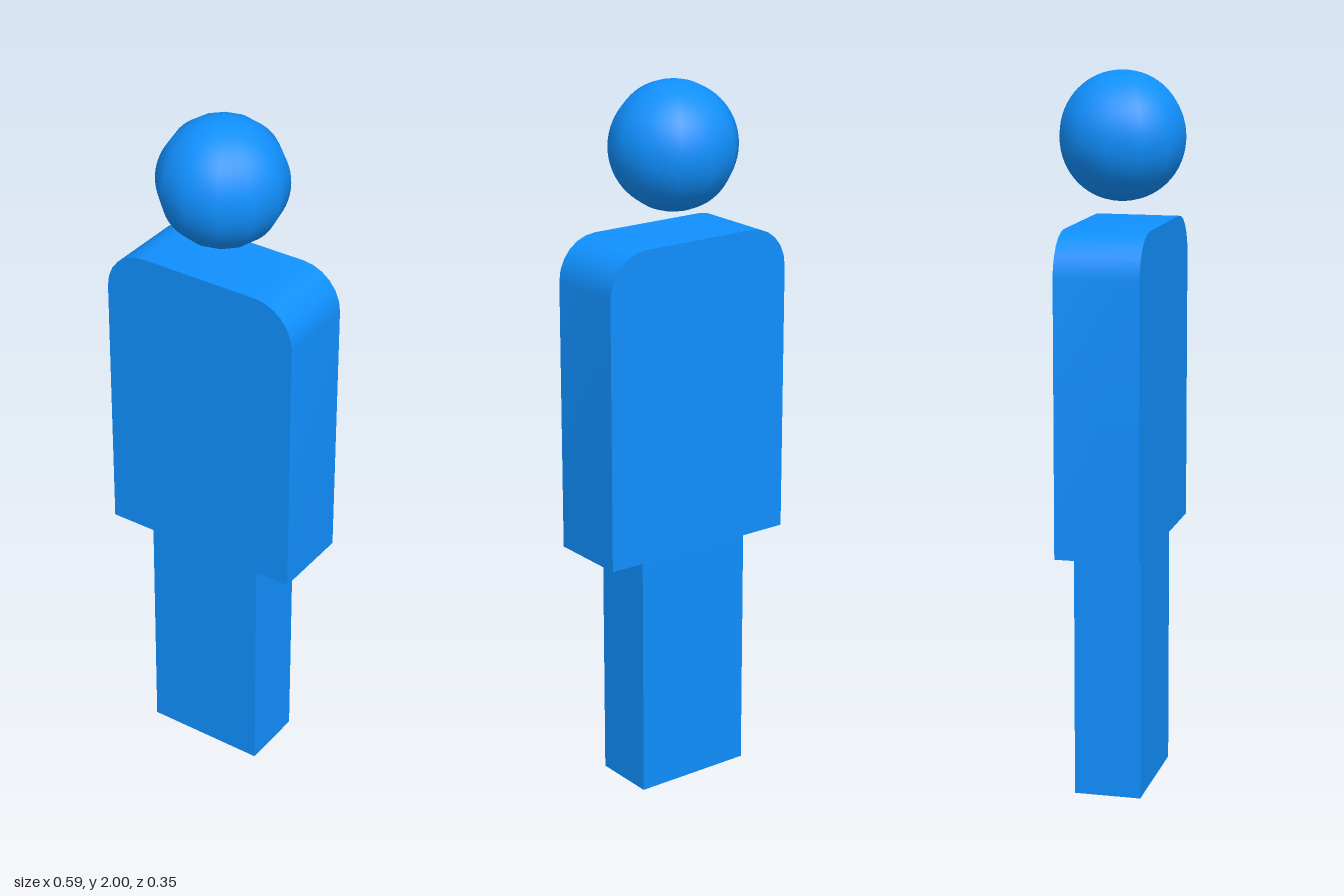
import * as THREE from 'three';
import { toCreasedNormals } from 'three/addons/utils/BufferGeometryUtils.js';

export function createModel() {
  const figure = new THREE.Group();
  figure.name = 'standingFigure';
  const blue = new THREE.MeshStandardMaterial({ color: 0x1090ff });

  const add = (name, geometry, y) => {
    const mesh = new THREE.Mesh(geometry, blue);
    mesh.name = name;
    mesh.position.y = y;
    figure.add(mesh);
  };

  // Legs: one plain block
  const legHeight = 0.706;
  add('legs', new THREE.BoxGeometry(0.353, legHeight, 0.188), legHeight / 2);

  // Torso: slab with rounded shoulders
  const halfWidth = 0.294, height = 0.882, radius = 0.118, depth = 0.235;
  const outline = new THREE.Shape();
  outline.moveTo(-halfWidth, 0);
  outline.lineTo(halfWidth, 0);
  outline.lineTo(halfWidth, height - radius);
  outline.absarc(halfWidth - radius, height - radius, radius, 0, Math.PI / 2);
  outline.lineTo(-halfWidth + radius, height);
  outline.absarc(-halfWidth + radius, height - radius, radius, Math.PI / 2, Math.PI);
  outline.closePath();
  const torso = new THREE.ExtrudeGeometry(outline, { depth, bevelEnabled: false, curveSegments: 3 });
  torso.translate(0, 0, -depth / 2);
  add('torso', toCreasedNormals(torso, 0.7), legHeight);

  // Head: floating ball, twelve-sided around the vertical axis
  const headRadius = 0.1765;
  add('head', new THREE.SphereGeometry(headRadius, 12, 32), 2 - headRadius);

  return figure;
}
